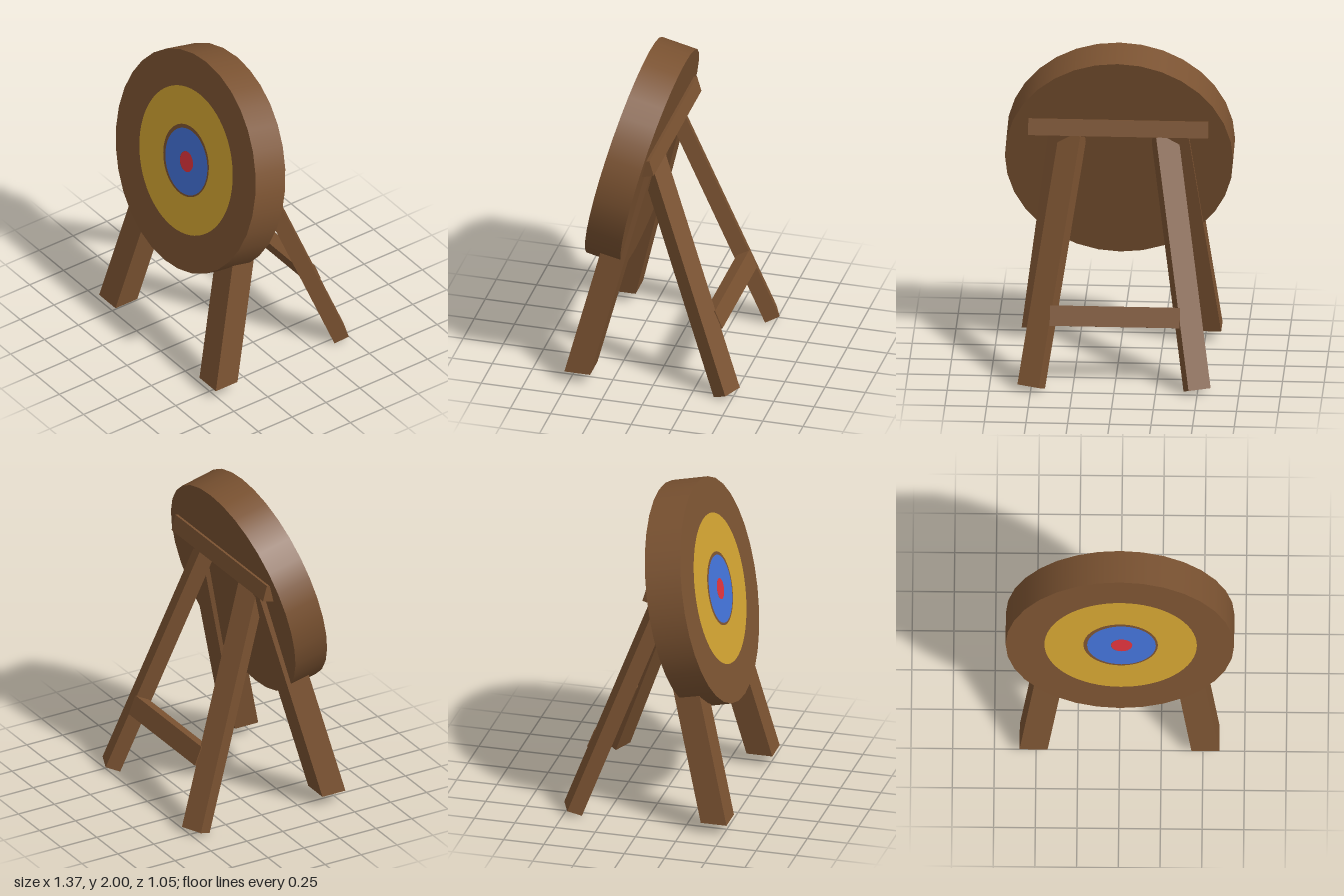
import * as THREE from 'three';

const mat = (name, color) => {
  const m = new THREE.MeshStandardMaterial({ color });
  m.name = name;
  return m;
};

export function createModel() {
  const wood = mat('brown wood', 0x7a5231);
  const yellow = mat('yellow paint', 0xcfa131);
  const blue = mat('blue paint', 0x4270d4);
  const red = mat('red paint', 0xdb323b);

  const model = new THREE.Group();
  model.name = 'archeryTarget';

  const add = (parent, name, geometry, material, x, y, z) => {
    const mesh = new THREE.Mesh(geometry, material);
    mesh.name = name;
    mesh.position.set(x, y, z);
    parent.add(mesh);
    return mesh;
  };

  // Round board, leaning back; its local +z is the painted face
  const board = new THREE.Group();
  board.name = 'board';
  board.position.set(0, 1.31, 0.207);
  board.rotation.x = -0.232;
  model.add(board);
  const thick = 0.226;
  const disc = new THREE.CylinderGeometry(0.685, 0.685, thick, 32).rotateX(Math.PI / 2);
  add(board, 'disc', disc, wood, 0, 0, 0);

  // Painted rings, leaving a thin wooden gap around the blue
  const face = thick / 2 + 0.003;
  add(board, 'yellowRing', new THREE.RingGeometry(0.223, 0.457, 64), yellow, 0.005, 0.008, face);
  add(board, 'blueRing', new THREE.RingGeometry(0.064, 0.206, 48), blue, 0.01, 0.003, face);
  add(board, 'bullseye', new THREE.CircleGeometry(0.064, 32), red, 0.012, 0.003, face);

  // Leg tilt of the rear frame
  const tilt = 0.382, yaw = 0.4;

  for (const side of [-1, 1]) {
    const label = side > 0 ? 'left' : 'right';

    // Front leg: level-cut box sheared inwards and backwards, running up behind the board
    const h = 1.4;
    const leg = new THREE.BoxGeometry(0.168, h, 0.16).translate(0, h / 2, 0);
    leg.applyMatrix4(new THREE.Matrix4().set(
      1, -side * 0.128, 0, 0,
      0, 1, 0, 0,
      0, -0.248, 1, 0,
      0, 0, 0, 1));
    leg.computeVertexNormals();
    add(model, label + 'FrontLeg', leg, wood, side * 0.515, 0.07, 0.445);

    // Rear leg: square-cut box turned and tilted towards the board
    const rear = new THREE.BoxGeometry(0.141, 1.53, 0.095).translate(0, 0.765, 0);
    const rearLeg = add(model, label + 'RearLeg', rear, wood, side * 0.498, 0.018, -0.457);
    rearLeg.rotation.set(tilt, -side * yaw, 0, 'YXZ');
  }

  // Rails joining the legs
  const stretcher = add(model, 'rearStretcher', new THREE.BoxGeometry(0.78, 0.123, 0.075), wood, 0, 0.4325, -0.3425);
  stretcher.rotation.x = tilt;
  const rail = add(model, 'topRail', new THREE.BoxGeometry(1.08, 0.1, 0.08), wood, 0, 1.5, 0.038);
  rail.rotation.x = 0.28;

  return model;
}
